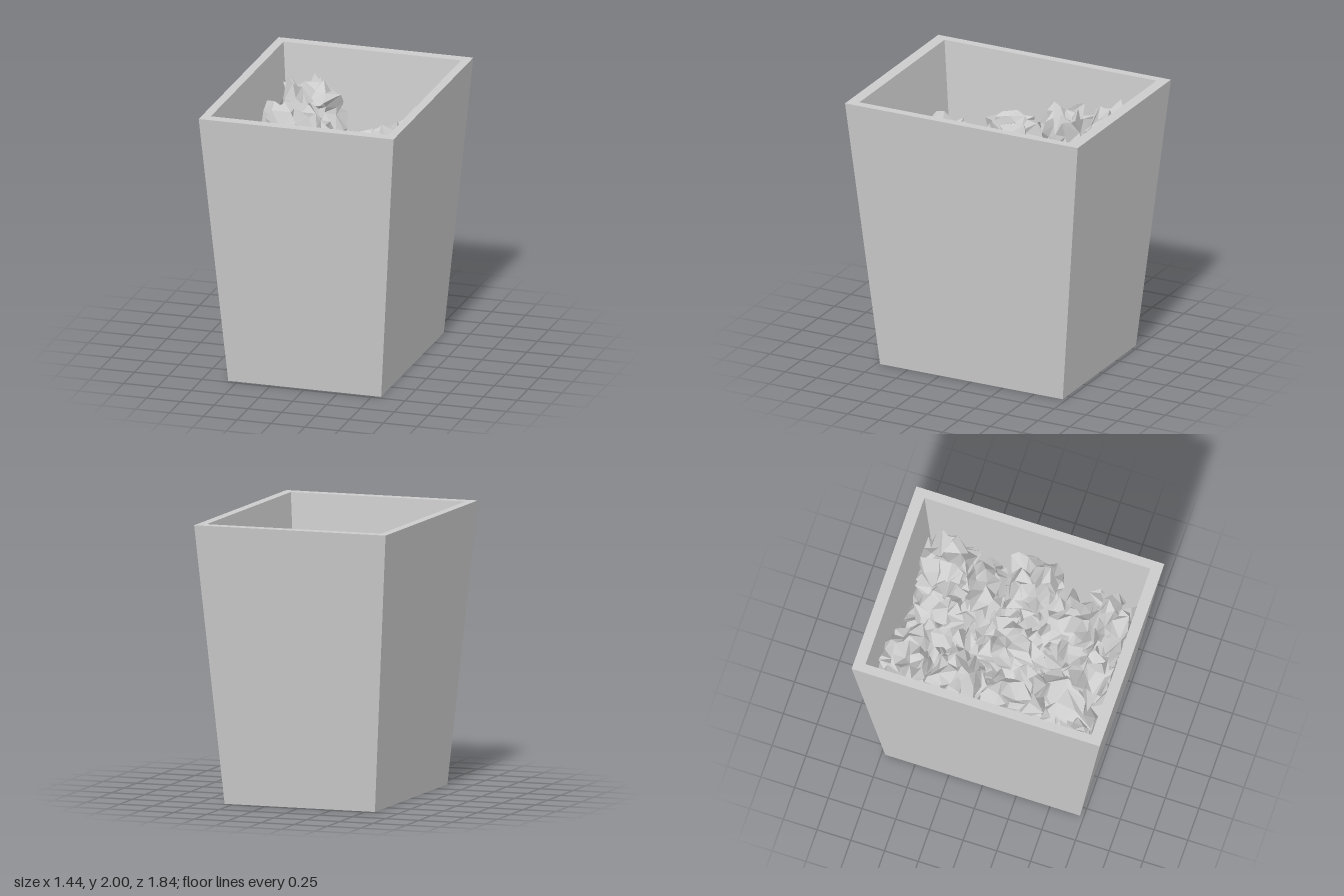
import * as THREE from 'three';

const WALL = 0.911; // inner rim as a fraction of the outer rim
const TAPER = 0.1075; // half-width lost per unit of depth (relative to rim)
const RIM_X = 0.72, RIM_Z = 0.92, HEIGHT = 2, FLOOR = 0.07;

const grey = new THREE.MeshStandardMaterial({ color: 0xcccccc, flatShading: true, side: THREE.DoubleSide });

// Seeded random numbers
function seeded(seed) {
  let s = seed * 7919 + 17;
  return () => {
    s = (s * 16807 + 11) % 2147483647;
    return s / 2147483647;
  };
}

// Tapered rectangular bin: a four-sided lathe of the wall section
function makeBin() {
  const inner = WALL - TAPER * (HEIGHT - FLOOR);
  const profile = [[0, 0], [0.785, 0], [1, HEIGHT], [WALL, HEIGHT], [inner, FLOOR], [0, FLOOR]]
    .map(([r, y]) => new THREE.Vector2(r * Math.SQRT2, y));
  const geo = new THREE.LatheGeometry(profile, 4, Math.PI / 4).toNonIndexed();
  geo.scale(RIM_X, 1, RIM_Z);
  geo.computeVertexNormals();
  const bin = new THREE.Mesh(geo, grey);
  bin.name = 'bin';
  return bin;
}

// Crumpled paper ball: facets pushed in and out, pressed flat where they meet the walls
function makePaper([x, y, z, rx, ry, rz], seed, detail) {
  const rand = seeded(seed);
  for (let i = 0; i < 5; i++) rand();
  const geo = new THREE.IcosahedronGeometry(1, detail);
  const pos = geo.attributes.position;
  const p = new THREE.Vector3();
  const moved = new Map();
  const turn = new THREE.Euler(rand() * 6, rand() * 6, rand() * 6);
  for (let i = 0; i < pos.count; i++) {
    p.fromBufferAttribute(pos, i);
    const key = p.toArray().map((v) => Math.round(v * 1000)).join();
    if (!moved.has(key)) {
      const q = p.clone();
      q.x += (rand() - 0.5) * 0.4;
      q.y += (rand() - 0.5) * 0.4;
      q.z += (rand() - 0.5) * 0.4;
      q.multiplyScalar(0.72 + 0.36 * rand()).applyEuler(turn);
      q.set(x + q.x * rx, Math.max(FLOOR + 0.01, y + q.y * ry), z + q.z * rz);
      const fit = WALL - TAPER * (HEIGHT - q.y) - 0.012;
      q.x = THREE.MathUtils.clamp(q.x, -fit * RIM_X, fit * RIM_X);
      q.z = THREE.MathUtils.clamp(q.z, -fit * RIM_Z, fit * RIM_Z);
      moved.set(key, q);
    }
    p.copy(moved.get(key));
    pos.setXYZ(i, p.x, p.y, p.z);
  }
  geo.computeVertexNormals();
  const mesh = new THREE.Mesh(geo, grey);
  mesh.name = 'crumpledPaper' + seed;
  return mesh;
}

export function createModel() {
  const model = new THREE.Group();
  model.name = 'wasteBin';
  model.add(makeBin());

  const heap = new THREE.Group();
  heap.name = 'paperHeap';
  // Visible top of the heap: centre x, y, z and radii
  const top = [
    [-0.4, 1.57, -0.63, 0.24, 0.26, 0.22],
    [-0.42, 1.53, -0.25, 0.24, 0.26, 0.21],
    [-0.39, 1.42, 0.16, 0.26, 0.24, 0.24],
    [0.42, 1.55, 0.04, 0.22, 0.24, 0.21],
    [0.2, 1.55, 0.42, 0.25, 0.25, 0.23],
    [0.42, 1.42, -0.6, 0.25, 0.25, 0.24],
    [0.32, 1.35, -0.3, 0.28, 0.25, 0.2],
    [-0.03, 1.4, 0.0, 0.2, 0.26, 0.25],
    [0.1, 1.3, -0.55, 0.25, 0.22, 0.24],
    [0.4, 1.3, 0.6, 0.26, 0.25, 0.22],
    [-0.5, 1.15, 0.62, 0.2, 0.22, 0.24],
    [0.08, 1.22, 0.62, 0.25, 0.25, 0.2],
  ];
  top.forEach((ball, i) => heap.add(makePaper(ball, i + 1, 3)));

  // Looser layers filling the bin below
  let n = top.length;
  for (const y of [1.02, 0.66, 0.3]) {
    for (const x of [-0.28, 0.28]) {
      for (const z of [-0.48, 0, 0.48]) heap.add(makePaper([x, y, z, 0.36, 0.27, 0.34], ++n, 2));
    }
  }
  model.add(heap);
  return model;
}
